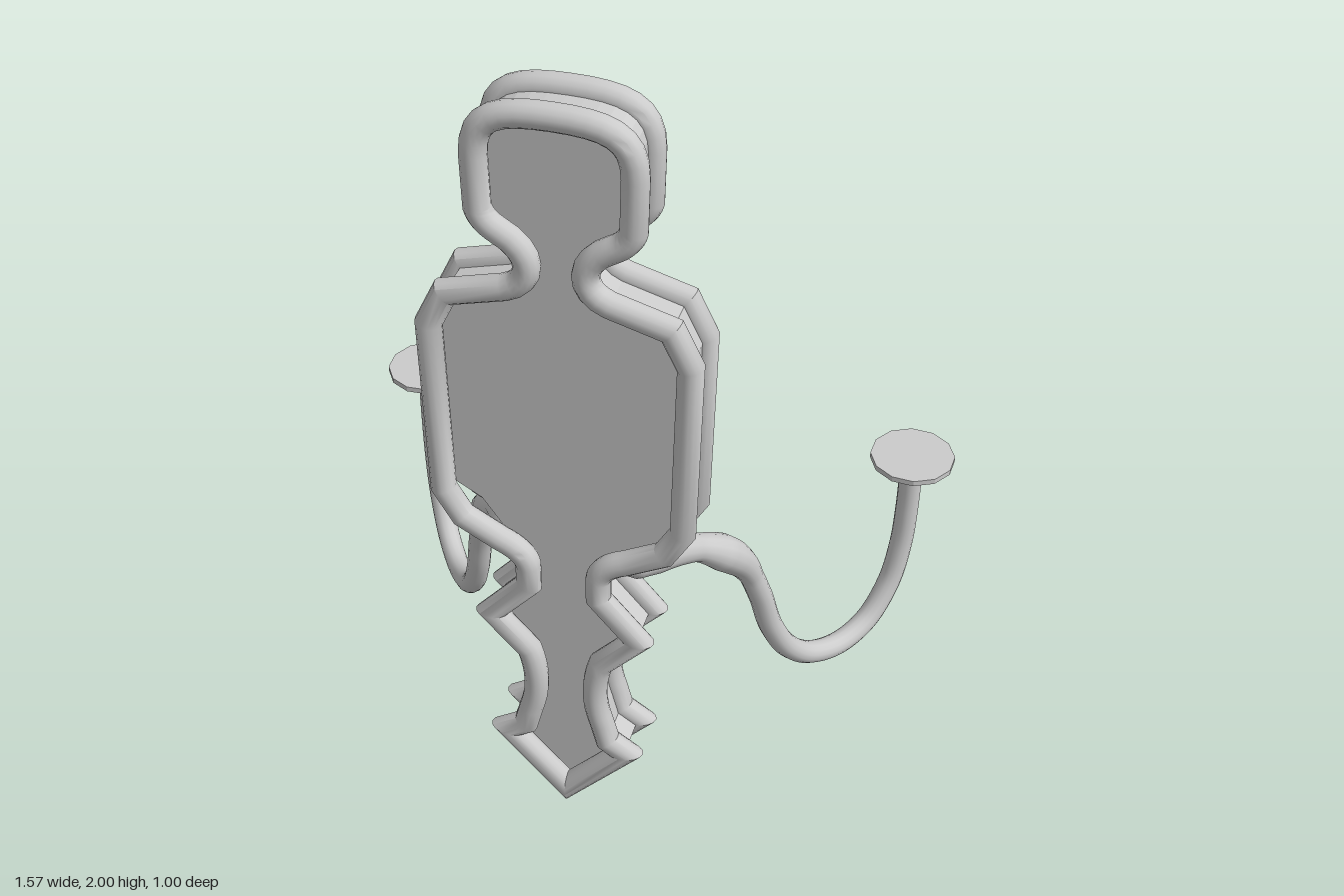
import * as THREE from 'three';
import { toCreasedNormals } from 'three/addons/utils/BufferGeometryUtils.js';

const material = new THREE.MeshStandardMaterial({ color: 0xcccccc });

function addMesh(parent, name, geometry) {
  const mesh = new THREE.Mesh(geometry, material);
  mesh.name = name;
  parent.add(mesh);
  return mesh;
}

// Round bar swept along a planar path, with mitred corners.
function sweep(points, radiusAt, binormal, closed, sides = 14) {
  const n = points.length, positions = [], index = [];
  const at = i => closed ? points[(i + n) % n] : points[Math.min(Math.max(i, 0), n - 1)];
  for (let i = 0; i < n; i++) {
    const before = at(i).clone().sub(at(i - 1)).normalize();
    const after = at(i + 1).clone().sub(at(i)).normalize();
    const tangent = before.clone().add(after).normalize();
    const across = binormal.clone().cross(tangent);
    const miter = 1 / Math.max(0.4, tangent.dot(after.lengthSq() ? after : before));
    const r = radiusAt(i / (n - 1));
    for (let j = 0; j < sides; j++) {
      const a = j / sides * Math.PI * 2;
      const p = points[i].clone()
        .addScaledVector(across, Math.cos(a) * r * miter)
        .addScaledVector(binormal, Math.sin(a) * r);
      positions.push(p.x, p.y, p.z);
    }
  }
  for (let i = 0; i < (closed ? n : n - 1); i++) {
    for (let j = 0; j < sides; j++) {
      const k = (j + 1) % sides, next = (i + 1) % n;
      const a = i * sides + j, b = i * sides + k, c = next * sides + j, d = next * sides + k;
      index.push(a, b, c, b, d, c);
    }
  }
  const geometry = new THREE.BufferGeometry();
  geometry.setAttribute('position', new THREE.Float32BufferAttribute(positions, 3));
  geometry.setIndex(index);
  geometry.computeVertexNormals();
  return geometry;
}

// Closed silhouette: one half drawn from the top down, then mirrored.
function silhouette() {
  const half = new THREE.Path();
  half.moveTo(0, 1.97);
  half.bezierCurveTo(0.11, 1.97, 0.17, 1.955, 0.17, 1.86);
  half.lineTo(0.167, 1.735);
  half.quadraticCurveTo(0.16, 1.705, 0.125, 1.685);
  half.bezierCurveTo(0.045, 1.645, 0.045, 1.57, 0.115, 1.545);
  half.lineTo(0.25, 1.507);
  half.lineTo(0.292, 1.42);
  half.lineTo(0.283, 0.96);
  half.lineTo(0.24, 0.885);
  half.lineTo(0.15, 0.835);
  half.quadraticCurveTo(0.09, 0.81, 0.085, 0.77);
  half.lineTo(0.085, 0.71);
  half.lineTo(0.18, 0.6);
  half.lineTo(0.09, 0.5);
  half.quadraticCurveTo(0.058, 0.4, 0.09, 0.3);
  half.lineTo(0.105, 0.24);
  half.lineTo(0.15, 0.21);
  half.lineTo(0, 0.043);
  const right = half.getPoints(8);
  const left = right.slice(1, -1).reverse().map(p => new THREE.Vector2(-p.x, p.y));
  return [...right, ...left];
}

// Height of the arm against its run outwards from the plate.
const armProfile = [
  [-0.045, 0.765], [0, 0.757], [0.08, 0.74], [0.16, 0.71], [0.25, 0.66], [0.37, 0.55],
  [0.44, 0.41], [0.49, 0.27], [0.56, 0.155], [0.65, 0.08], [0.77, 0.047], [0.875, 0.075],
  [0.955, 0.17], [0.99, 0.29], [1, 0.42], [1, 0.57]
];
// Thickness along the arm: knob, neck, swelling, plain rod.
const armRadii = [
  [0, 0], [0.008, 0.032], [0.025, 0.048], [0.06, 0.052], [0.11, 0.042], [0.145, 0.035],
  [0.17, 0.041], [0.2, 0.047], [0.23, 0.045], [0.3, 0.031], [1, 0.03]
];
function armRadius(t) {
  const i = Math.max(1, armRadii.findIndex(e => e[0] >= t));
  const [t0, r0] = armRadii[i - 1], [t1, r1] = armRadii[i];
  return THREE.MathUtils.mapLinear(t, t0, t1, r0, r1);
}

function createArm(side) {
  const arm = new THREE.Group();
  arm.name = side > 0 ? 'leftArm' : 'rightArm';
  const run = new THREE.Vector3(side * 0.535, 0, -0.765);
  const path = new THREE.CatmullRomCurve3(armProfile.map(([s, y]) =>
    new THREE.Vector3(side * 0.14, y, 0.37).addScaledVector(run, s)));
  const binormal = run.clone().cross(new THREE.Vector3(0, 1, 0)).normalize();
  addMesh(arm, 'curvedRod', sweep(path.getSpacedPoints(120), armRadius, binormal, false));

  // Flat round tray with a tapered underside
  const profile = [[0, 0.552], [0.04, 0.552], [0.11, 0.582], [0.11, 0.597], [0, 0.597]]
    .map(([r, y]) => new THREE.Vector2(r, y));
  const tray = addMesh(arm, 'tray', toCreasedNormals(new THREE.LatheGeometry(profile, 12), 0.3));
  tray.position.set(side * 0.675, 0, -0.395);
  tray.rotation.y = side * 0.2;
  return arm;
}

export function createModel() {
  const model = new THREE.Group();
  model.name = 'wallSconce';
  const outline = silhouette();

  // Flat plate, with one lower corner cut short of the rim
  const plateOutline = outline.map(p => p.x === -0.24 ? new THREE.Vector2(-0.205, 0.915) : p);
  const plate = addMesh(model, 'plate', new THREE.ExtrudeGeometry(
    new THREE.Shape(plateOutline), { depth: 0.055, bevelEnabled: false }));
  plate.position.z = 0.379;

  // Matching round-bar rims in front of and behind the plate
  const path = outline.map(p => new THREE.Vector3(p.x, p.y, 0));
  const rim = toCreasedNormals(
    sweep(path, () => 0.03, new THREE.Vector3(0, 0, 1), true), 0.65);
  for (const [name, z] of [['frontRim', 0.47], ['rearRim', 0.35]]) {
    addMesh(model, name, rim).position.z = z;
  }

  for (const side of [1, -1]) model.add(createArm(side));
  return model;
}
